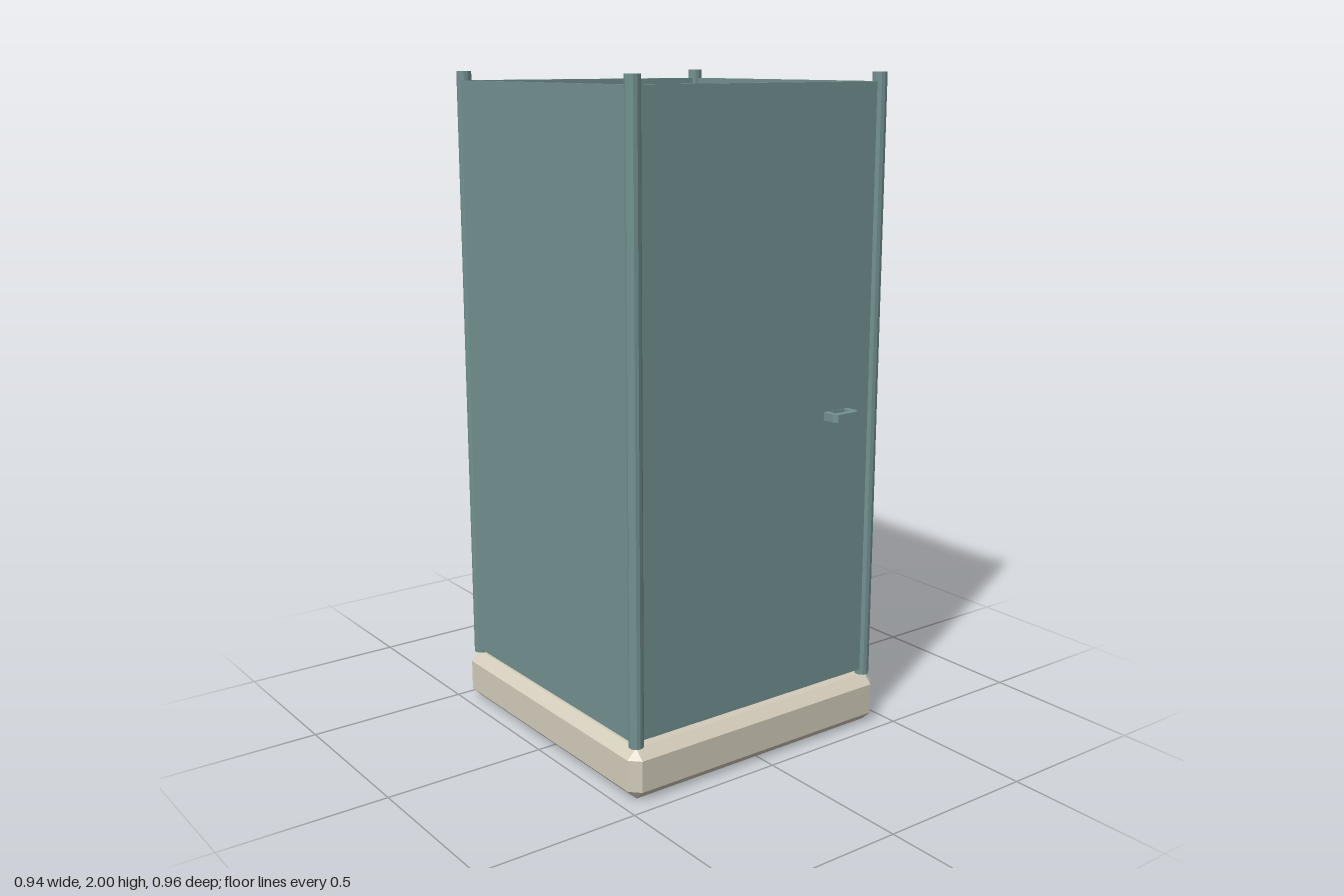
import * as THREE from 'three';
import { ConvexGeometry } from 'three/addons/geometries/ConvexGeometry.js';

const teal = new THREE.MeshStandardMaterial({ color: 0x729090, flatShading: true });
teal.name = 'teal';
const beige = new THREE.MeshStandardMaterial({ color: 0xd3ccbb, flatShading: true });
beige.name = 'beige';

function part(parent, name, geometry, material, x = 0, y = 0, z = 0) {
  const mesh = new THREE.Mesh(geometry, material);
  mesh.name = name;
  mesh.position.set(x, y, z);
  parent.add(mesh);
  return mesh;
}

// Box with every edge chamfered by c
function chamferBox(w, h, d, c) {
  const points = [];
  for (const sx of [-1, 1]) for (const sy of [-1, 1]) for (const sz of [-1, 1]) {
    for (let axis = 0; axis < 3; axis++) {
      const p = [w / 2 - c, h / 2 - c, d / 2 - c];
      p[axis] += c;
      points.push(new THREE.Vector3(sx * p[0], sy * p[1], sz * p[2]));
    }
  }
  return new ConvexGeometry(points);
}

export function createModel() {
  const group = new THREE.Group();
  group.name = 'showerCabin';
  const midZ = -0.017, half = 0.435;

  // Tray
  part(group, 'tray', chamferBox(0.94, 0.155, 0.94, 0.03), beige, 0, 0.0775, -0.015);

  // Corner posts and wall panels
  for (const s of [-1, 1]) {
    for (const t of [-1, 1]) {
      part(group, 'cornerPost', new THREE.CylinderGeometry(0.022, 0.022, 1.845, 12), teal,
        s * half, 1.0775, midZ + t * half);
    }
    part(group, 'sidePanel', new THREE.BoxGeometry(0.016, 1.8, 0.85), teal, s * 0.445, 1.073, midZ);
  }
  part(group, 'backPanel', new THREE.BoxGeometry(0.85, 1.8, 0.022), teal, 0, 1.073, -0.452);
  part(group, 'door', new THREE.BoxGeometry(0.85, 1.8, 0.018), teal, 0, 1.073, 0.419);

  // Door handle: a flat loop with cut front corners
  const loop = new THREE.Shape([
    [-0.048, 0], [0.048, 0], [0.048, 0.038], [0.038, 0.053], [-0.038, 0.053], [-0.048, 0.038],
  ].map(([x, y]) => new THREE.Vector2(x, y)));
  loop.holes.push(new THREE.Path([
    [-0.03, 0.003], [-0.03, 0.032], [0.03, 0.032], [0.03, 0.003],
  ].map(([x, y]) => new THREE.Vector2(x, y))));
  const handle = new THREE.ExtrudeGeometry(loop, { depth: 0.024, bevelEnabled: false });
  handle.rotateX(Math.PI / 2);
  part(group, 'doorHandle', handle, teal, 0.287, 1.026, 0.427);

  // Riser pipe bending forward to the head
  const shower = new THREE.Group();
  shower.name = 'shower';
  group.add(shower);
  const path = new THREE.CurvePath();
  const v = (y, z) => new THREE.Vector3(0, y, z);
  path.add(new THREE.LineCurve3(v(1.0, -0.4), v(1.77, -0.4)));
  path.add(new THREE.QuadraticBezierCurve3(v(1.77, -0.4), v(1.82, -0.4), v(1.845, -0.365)));
  path.add(new THREE.LineCurve3(v(1.845, -0.365), v(1.91, -0.275)));
  part(shower, 'riserPipe', new THREE.TubeGeometry(path, 60, 0.018, 8), teal);

  // Rain head and valve dial
  part(shower, 'showerHead', new THREE.CylinderGeometry(0.11, 0.11, 0.035, 12), teal, 0, 1.912, -0.235);
  const dial = part(shower, 'valveDial', new THREE.CylinderGeometry(0.058, 0.058, 0.035, 12), teal, 0, 1.0, -0.377);
  dial.rotation.x = Math.PI / 2;

  return group;
}
